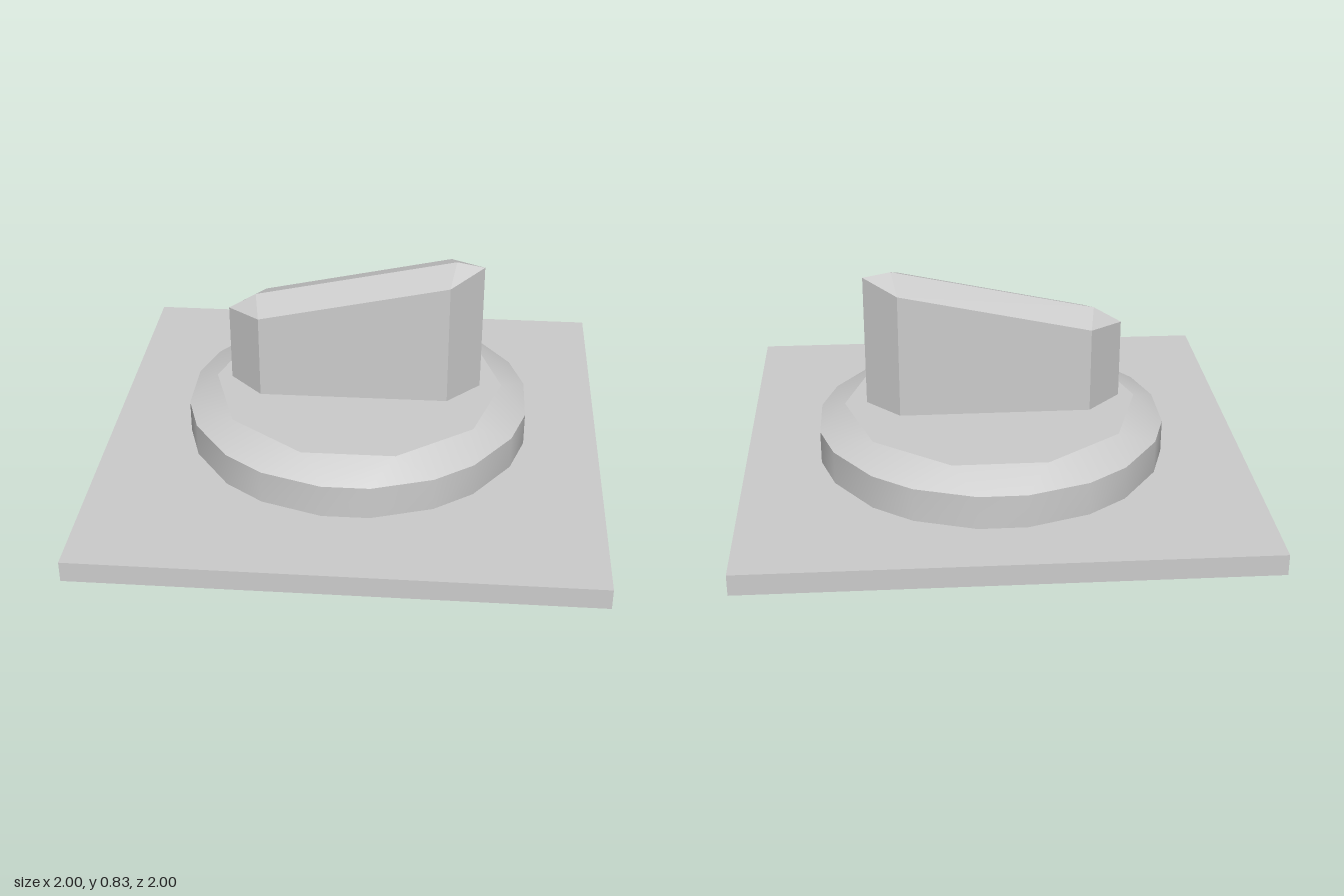
import * as THREE from 'three';

const gray = new THREE.MeshStandardMaterial({ color: 0xcccccc, side: THREE.DoubleSide });
gray.name = 'light gray';

// Mesh from corner points and faces (triangles or quads, counter-clockwise from outside)
function polyMesh(name, points, faces, flat) {
  let geometry = new THREE.BufferGeometry();
  geometry.setAttribute('position', new THREE.Float32BufferAttribute(points.flat(), 3));
  const index = [];
  for (const f of faces) for (let i = 1; i < f.length - 1; i++) index.push(f[0], f[i], f[i + 1]);
  geometry.setIndex(index);
  if (flat) geometry = geometry.toNonIndexed();
  geometry.computeVertexNormals();
  const mesh = new THREE.Mesh(geometry, gray);
  mesh.name = name;
  return mesh;
}

const polar = (degrees, r, y) => {
  const a = THREE.MathUtils.degToRad(degrees);
  return [r * Math.cos(a), y, -r * Math.sin(a)];
};

// Quads joining two rings of n points, the lower ring stored first
const band = (n) => Array.from({ length: n }, (_, i) => {
  const j = (i + 1) % n;
  return [i, j, n + j, n + i];
});

// Square plate, hollow underneath
function makePlate() {
  const geometry = new THREE.BoxGeometry(1.99, 0.083, 1.99);
  const index = Array.from(geometry.index.array);
  index.splice(18, 6); // leave out the bottom face
  geometry.setIndex(index);
  geometry.clearGroups();
  const plate = new THREE.Mesh(geometry, gray);
  plate.name = 'basePlate';
  plate.position.y = 0.0415;
  plate.rotation.y = -0.005;
  return plate;
}

// Round dial: ten-sided with cut corners, bevelled to a plain decagon on top
function makeDial() {
  const dial = new THREE.Group();
  dial.name = 'dial';
  const outer = (y) => {
    const ring = [];
    for (let k = 0; k < 10; k++) ring.push(polar(36 * k - 10.3, 0.694, y), polar(36 * k + 10.3, 0.694, y));
    return ring;
  };
  const inner = Array.from({ length: 10 }, (_, k) => polar(36 * k, 0.585, 0.28));
  const bevelFaces = [];
  for (let k = 0; k < 10; k++) {
    const o = 2 * k;
    bevelFaces.push([o, o + 1, 20 + k]);
    bevelFaces.push([o + 1, (o + 2) % 20, 20 + (k + 1) % 10, 20 + k]);
  }
  dial.add(
    polyMesh('dialWall', [...outer(0.067), ...outer(0.217)], band(20), false),
    polyMesh('dialBevel', [...outer(0.217), ...inner], bevelFaces, false),
    polyMesh('dialTop', inner, [inner.map((_, i) => i)], true),
  );
  dial.position.set(0.013, 0, -0.053);
  return dial;
}

// Grip: pointed six-sided bar with a sloping ridged top
function makeGrip() {
  // x, z and top height of each corner
  const outline = [
    [0.51, 0, 0.815], [0.378, -0.135, 0.783], [-0.375, -0.135, 0.622],
    [-0.51, 0, 0.6], [-0.375, 0.135, 0.622], [0.378, 0.135, 0.783],
  ];
  const points = [
    ...outline.map(([x, z]) => [x, 0.28, z]),
    ...outline.map(([x, z, y]) => [x, y, z]),
    [0.4, 0.835, 0], [-0.4, 0.665, 0], // ridge ends
  ];
  const top = [
    [6, 7, 12], [7, 8, 13, 12], [8, 9, 13],
    [9, 10, 13], [10, 11, 12, 13], [11, 6, 12],
  ];
  const grip = polyMesh('grip', points, [...band(6), ...top], true);
  grip.position.z = -0.046;
  return grip;
}

export function createModel() {
  const model = new THREE.Group();
  model.name = 'rotaryKnob';
  model.add(makePlate(), makeDial(), makeGrip());
  return model;
}
